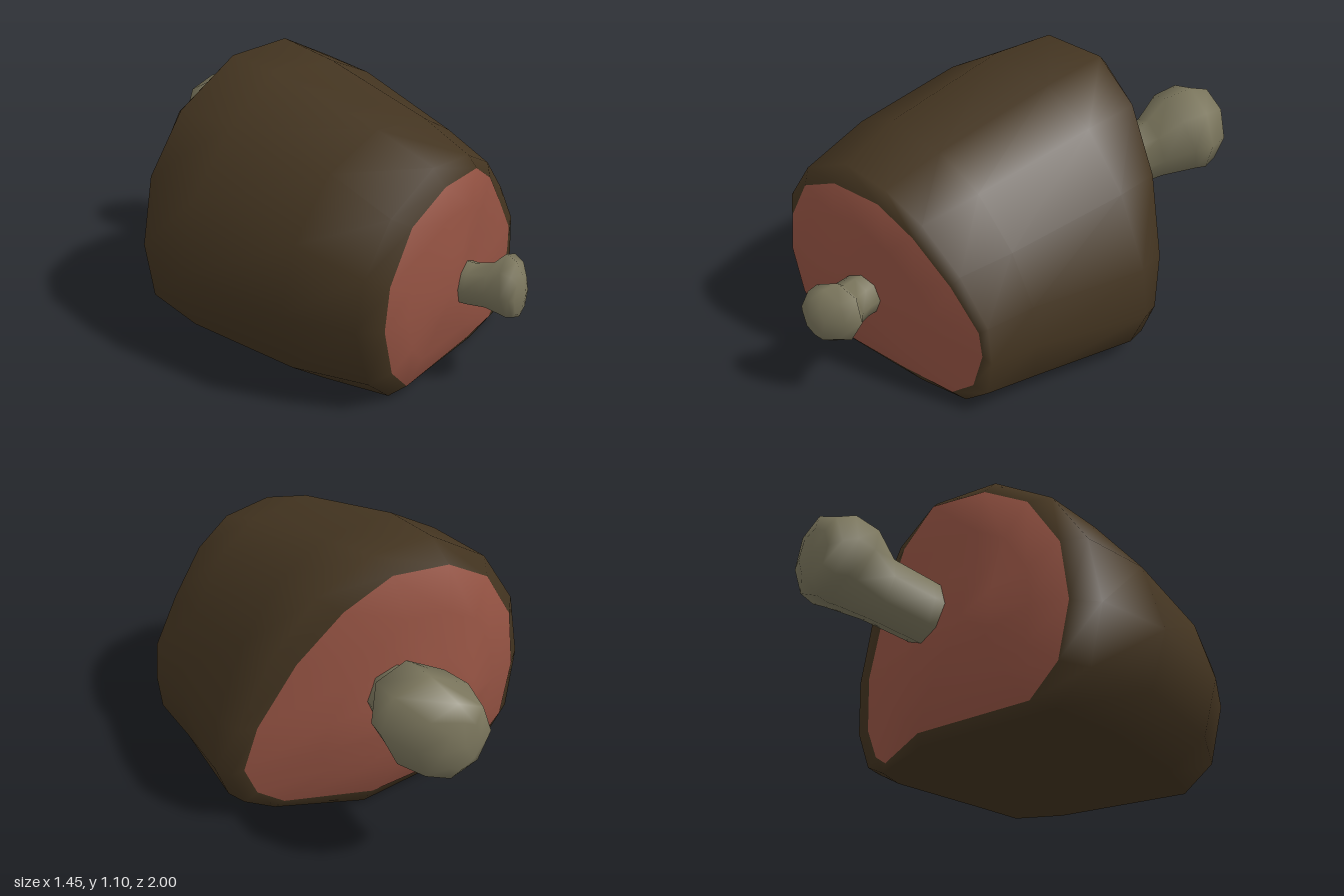
import * as THREE from 'three';

const V = (x, y, z) => new THREE.Vector3(x, y, z);

const skin = new THREE.MeshStandardMaterial({ color: 0x433420 });
skin.name = 'brownSkin';
const flesh = new THREE.MeshStandardMaterial({ color: 0x955343 });
flesh.name = 'redFlesh';
const bone = new THREE.MeshStandardMaterial({ color: 0x7a755c });
bone.name = 'paleBone';

// Outlines run clockwise seen from the front, starting at the -x side.
const frontRim = [
  [-.487, .36, .735], [-.462, .53, .735], [-.345, .725, .735], [-.15, .82, .73], [.08, .82, .70],
  [.23, .725, .66], [.38, .56, .61], [.5, .40, .58], [.51, .29, .572], [.465, .13, .58],
  [.36, .04, .60], [.1, .068, .67], [-.32, .052, .71], [-.435, .165, .73]];
const frontShoulder = [
  [-.575, .37, .67], [-.54, .57, .68], [-.40, .76, .68], [-.15, .88, .67], [.08, .862, .66],
  [.25, .775, .63], [.41, .61, .59], [.535, .43, .565], [.55, .27, .56], [.53, .12, .565],
  [.42, .03, .58], [.2, .015, .62], [-.38, .02, .67], [-.51, .13, .68]];
const middle = [
  [-.685, .38, .4], [-.605, .64, .4], [-.41, .86, .4], [-.17, .97, .42], [.11, .945, .42],
  [.30, .84, .4], [.455, .64, .37], [.55, .43, .35], [.565, .25, .34], [.55, .09, .34],
  [.45, .025, .35], [.2, .008, .38], [-.44, .015, .4], [-.62, .14, .4]];
const widest = [
  [-.725, .39, -.1], [-.64, .68, -.1], [-.43, .93, -.1], [-.17, 1.083, -.12], [.15, 1.062, -.1],
  [.375, .96, -.1], [.56, .745, -.1], [.695, .465, -.1], [.72, .25, -.11], [.655, .09, -.1],
  [.54, .025, -.1], [.2, .003, -.1], [-.47, .018, -.1], [-.655, .155, -.1]];
const backShoulder = [
  [-.64, .40, -.41], [-.585, .68, -.41], [-.42, .92, -.40], [-.14, 1.09, -.385], [.16, 1.1, -.38],
  [.385, .985, -.335], [.56, .76, -.28], [.675, .465, -.22], [.698, .25, -.185], [.638, .09, -.185],
  [.52, .03, -.225], [.2, .01, -.40], [-.44, .02, -.43], [-.59, .15, -.42]];
const backRim = [
  [-.54, .41, -.48], [-.505, .66, -.48], [-.36, .88, -.48], [-.15, 1.0, -.475], [.12, 1.035, -.455],
  [.31, .925, -.40], [.47, .725, -.32], [.605, .46, -.245], [.64, .25, -.195], [.585, .12, -.20],
  [.49, .06, -.25], [.18, .065, -.43], [-.36, .06, -.47], [-.49, .18, -.48]];

const toRing = points => points.map(p => V(...p));

// Shrink a ring towards a centre; depth adjusts the z of each new point
const inset = (ring, centre, t, depth) => ring.map(p => {
  const q = p.clone().lerp(centre, t);
  q.z = depth(q);
  return q;
});

// Depth of the back cut: a ridge line across x, sloping away up and down
const ridge = [[-.56, -.475], [-.22, -.565], [0, -.54], [.2, -.5], [.4, -.38], [.68, -.215]];
function backDepth({ x, y }) {
  const i = Math.max(1, ridge.findIndex(p => p[0] > x));
  const [x0, z0] = ridge[i - 1], [x1, z1] = ridge[i];
  return THREE.MathUtils.mapLinear(x, x0, x1, z0, z1) + .13 * Math.abs(y - .43);
}

// Join rings, ordered front to back, and close both ends with fans.
// materialOf(i) gives the material index of band i.
function loft(rings, frontCentre, backCentre, materialOf) {
  const n = rings[0].length, verts = [...rings.flat(), frontCentre, backCentre];
  const front = rings.length * n, back = front + 1, index = [];
  const geo = new THREE.BufferGeometry();
  const band = (material, make) => {
    const start = index.length;
    for (let j = 0; j < n; j++) index.push(...make(j, (j + 1) % n));
    geo.addGroup(start, index.length - start, material);
  };
  const last = (rings.length - 1) * n;
  band(materialOf(0), (j, k) => [front, k, j]);
  for (let i = 0; i < rings.length - 1; i++) {
    const a = i * n, b = a + n;
    band(materialOf(i), (j, k) => [a + j, a + k, b + j, a + k, b + k, b + j]);
  }
  band(materialOf(rings.length - 2), (j, k) => [back, last + j, last + k]);
  geo.setFromPoints(verts);
  geo.setIndex(index);
  geo.computeVertexNormals();
  return geo;
}

// Bone rings: [x, y, z, radiusX, radiusY, z tilt along x, z tilt along y]
function makeBone(name, sections, frontCentre, backCentre) {
  const rings = sections.map(([x, y, z, rx, ry, tx, ty]) =>
    Array.from({ length: 8 }, (_, i) => {
      const a = Math.PI - i / 8 * Math.PI * 2;
      const dx = Math.cos(a) * rx, dy = Math.sin(a) * ry;
      return V(x + dx, y + dy, z + dx * tx + dy * ty);
    }));
  const geo = loft(rings, V(...frontCentre), V(...backCentre), () => 0);
  geo.clearGroups();
  const mesh = new THREE.Mesh(geo, bone);
  mesh.name = name;
  return mesh;
}

export function createModel() {
  const group = new THREE.Group();
  group.name = 'meatOnBone';

  // Meat: skin around the outside, flesh on the two cut ends
  const fc = V(-.13, .4, .77), bc = V(-.1, .43, -.553);
  const fr = toRing(frontRim), br = toRing(backRim);
  const frontDepth = q => q.z + .008;
  const rings = [
    inset(fr, fc, .65, frontDepth), inset(fr, fc, .3, frontDepth), fr,
    ...[frontShoulder, middle, widest, backShoulder].map(toRing),
    br, inset(br, bc, .33, backDepth), inset(br, bc, .66, backDepth)];
  const meat = new THREE.Mesh(
    loft(rings, fc, bc, i => (i < 2 || i > 6 ? 1 : 0)), [skin, flesh]);
  meat.name = 'meat';
  group.add(meat);

  // Small bone end at the front
  group.add(makeBone('frontBone', [
    [.01, .405, .978, .058, .085, -.15, 0],
    [.033, .41, .947, .102, .112, -.28, -.1],
    [.045, .41, .905, .125, .122, -.3, -.2],
    [.025, .395, .84, .088, .095, -.2, 0],
    [0, .387, .77, .085, .088, -.1, 0],
    [-.02, .385, .6, .085, .088, 0, 0]], [.01, .405, .997], [-.02, .385, .58]));

  // Large bone end at the back
  group.add(makeBone('backBone', [
    [.07, .50, -.4, .115, .13, .4, .1],
    [.125, .535, -.52, .12, .135, .35, .1],
    [.20, .58, -.68, .124, .14, .35, .2],
    [.26, .65, -.768, .174, .188, .38, .42],
    [.275, .655, -.85, .186, .19, .38, .1],
    [.262, .625, -.95, .15, .165, .22, -.05],
    [.255, .62, -.985, .08, .1, .1, 0]], [.07, .50, -.38], [.25, .62, -.998]));

  return group;
}
